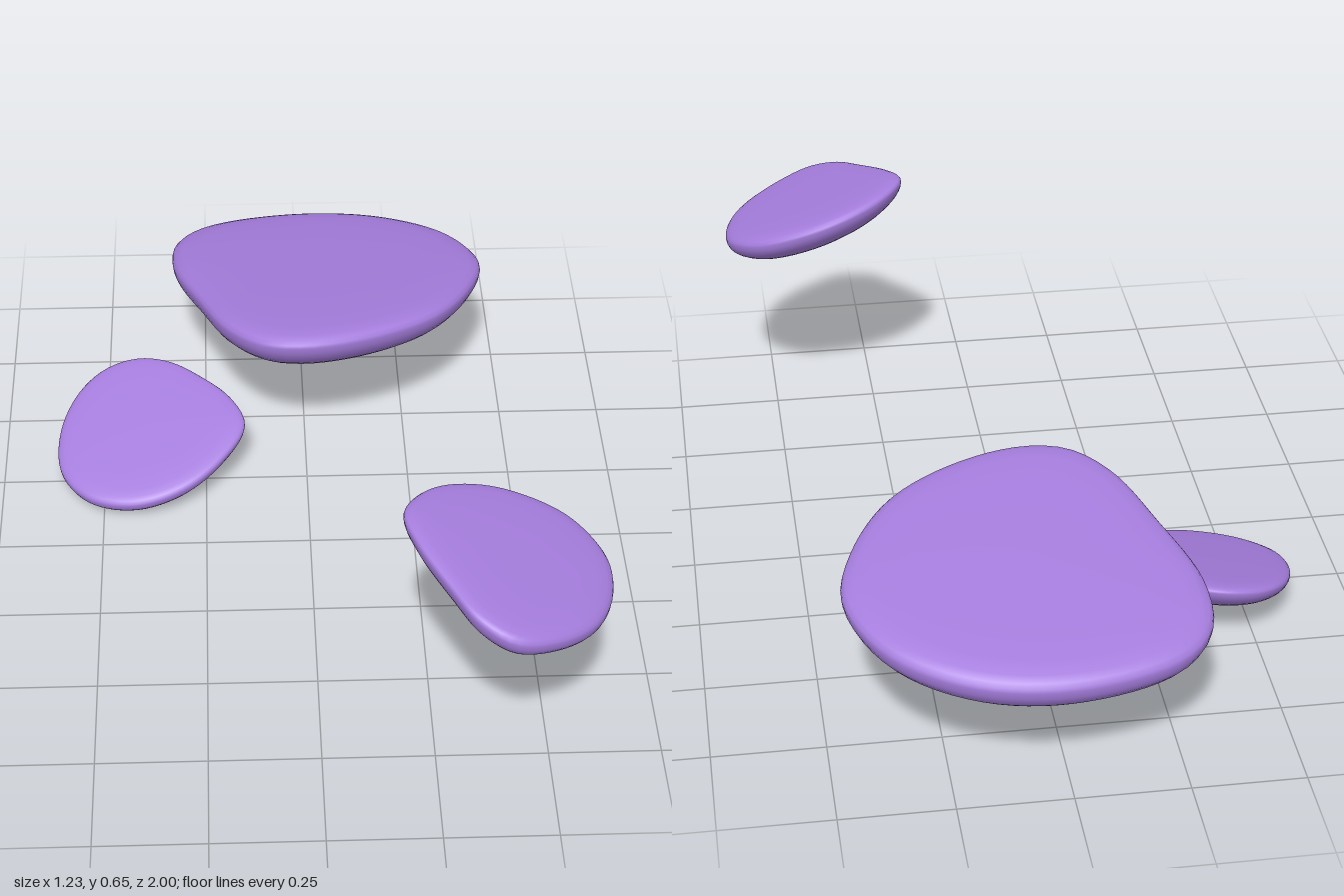
import * as THREE from 'three';

const SEGMENTS = 72;

// Radius fraction and drop fraction from the flat top, over the soft rim, down the bowl
function stoneProfile() {
  const rows = [[0, 0], [0.35, 0], [0.65, 0.01], [0.84, 0.03], [0.93, 0.06], [0.975, 0.1], [0.995, 0.15]];
  const rim = 0.2;
  for (let i = 0; i <= 14; i++) {
    const a = (i / 14) * Math.PI / 2;
    rows.push([Math.cos(a), rim + (1 - rim) * Math.sin(a)]);
  }
  return rows;
}

// Flat-topped pebble: a plan outline swept through the profile below a tilted top plane
function stoneGeometry({ outline, centre, slope, depth }) {
  const [cx, cy, cz] = centre;
  const curve = new THREE.CatmullRomCurve3(
    outline.map(([x, z]) => new THREE.Vector3(x, 0, z)), true);
  const rim = curve.getSpacedPoints(SEGMENTS).slice(0, SEGMENTS);
  const rows = stoneProfile();
  const positions = [], indices = [];
  for (const [r, drop] of rows) {
    for (const p of rim) {
      const dx = (p.x - cx) * r, dz = (p.z - cz) * r;
      positions.push(cx + dx, cy + slope[0] * dx + slope[1] * dz - depth * drop, cz + dz);
    }
  }
  for (let i = 0; i < rows.length - 1; i++) {
    for (let j = 0; j < SEGMENTS; j++) {
      const k = (j + 1) % SEGMENTS;
      const a = i * SEGMENTS + j, b = i * SEGMENTS + k;
      const c = a + SEGMENTS, d = b + SEGMENTS;
      if (i > 0) indices.push(a, b, d);
      if (i < rows.length - 2) indices.push(a, d, c);
      else indices.pop(), indices.pop(), indices.pop(), indices.push(a, b, c);
    }
  }
  const geometry = new THREE.BufferGeometry();
  geometry.setAttribute('position', new THREE.Float32BufferAttribute(positions, 3));
  geometry.setIndex(indices);
  geometry.computeVertexNormals();
  // Both poles share one straight normal so the caps shade evenly
  const normals = geometry.attributes.normal;
  const up = new THREE.Vector3(-slope[0], 1, -slope[1]).normalize();
  const last = (rows.length - 1) * SEGMENTS;
  for (let j = 0; j < SEGMENTS; j++) {
    normals.setXYZ(j, up.x, up.y, up.z);
    normals.setXYZ(last + j, -up.x, -up.y, -up.z);
  }
  return geometry;
}

// Plan outlines as x, z
const stones = [
  {
    name: 'largeFloatingStone',
    centre: [0.04, 0.362, -0.63], slope: [0.01, 0.16], depth: 0.18,
    outline: [[0, -1], [0.21, -0.97], [0.375, -0.86], [0.452, -0.69], [0.42, -0.545],
      [0.32, -0.385], [0.16, -0.28], [0, -0.238], [-0.105, -0.258], [-0.19, -0.345],
      [-0.26, -0.51], [-0.325, -0.71], [-0.315, -0.85], [-0.235, -0.94]],
  },
  {
    name: 'lowerFloatingStone',
    centre: [-0.4, 0.115, -0.31], slope: [0.15, -0.27], depth: 0.098,
    outline: [[-0.42, -0.533], [-0.34, -0.51], [-0.26, -0.45], [-0.185, -0.37],
      [-0.152, -0.285], [-0.205, -0.195], [-0.3, -0.12], [-0.42, -0.093], [-0.535, -0.13],
      [-0.605, -0.22], [-0.61, -0.345], [-0.565, -0.455], [-0.5, -0.515]],
  },
  {
    name: 'upperFloatingStone',
    centre: [0.39, 0.575, 0.77], slope: [-0.32, -0.1], depth: 0.12,
    outline: [[0.4, 0.548], [0.53, 0.585], [0.603, 0.68], [0.605, 0.79], [0.56, 0.89],
      [0.47, 0.965], [0.38, 0.995], [0.31, 0.96], [0.255, 0.88], [0.19, 0.765],
      [0.17, 0.69], [0.22, 0.61], [0.295, 0.565]],
  },
];

export function createModel() {
  const group = new THREE.Group();
  group.name = 'floatingStones';
  const purple = new THREE.MeshStandardMaterial({ color: 0xa57ddd });
  purple.name = 'softPurple';
  for (const stone of stones) {
    const mesh = new THREE.Mesh(stoneGeometry(stone), purple);
    mesh.name = stone.name;
    group.add(mesh);
  }
  return group;
}
